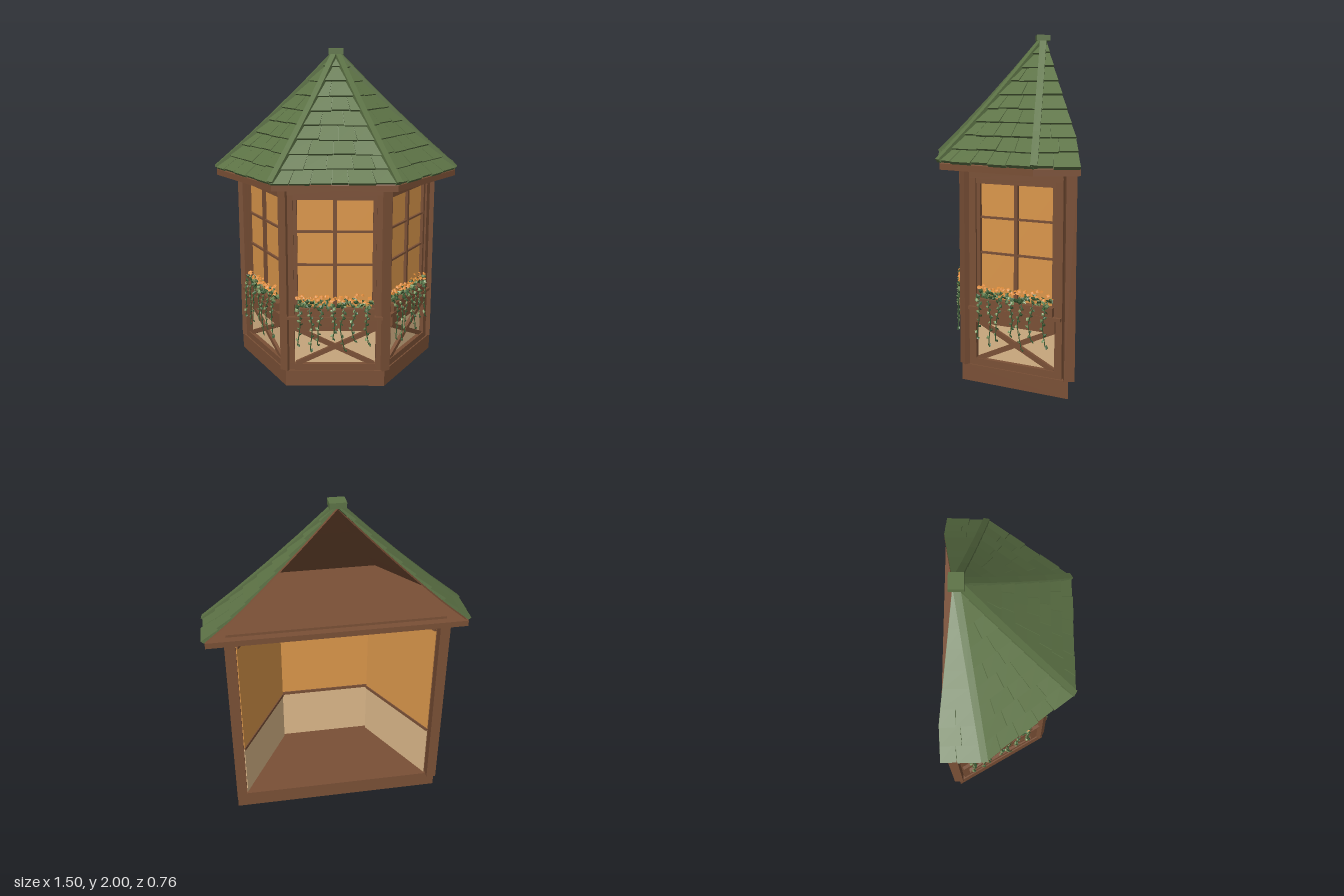
import * as THREE from 'three';
import { mergeGeometries } from 'three/addons/utils/BufferGeometryUtils.js';

const mat = (name, color, side = THREE.FrontSide) => {
  const m = new THREE.MeshStandardMaterial({ color, side });
  m.name = name;
  return m;
};
const V = (x, y, z) => new THREE.Vector3(x, y, z);

export function createModel() {
  const wood = mat('brown wood', 0x7a5036);
  const lining = mat('roof lining wood', 0x7a5036, THREE.DoubleSide);
  const glass = mat('amber glass', 0xdb974b);
  const cream = mat('cream plaster', 0xdcb88a);
  const green = mat('green shingle', 0x5d7346, THREE.DoubleSide);
  const leafDark = mat('dark leaf', 0x3f6038);
  const leafLight = mat('light leaf', 0x7f9a64);
  const orange = mat('orange blossom', 0xdc8a38);

  const model = new THREE.Group();
  model.name = 'bayWindow';
  let seed = 7;
  const rnd = (a, b) => {
    seed = (seed * 16807) % 2147483647;
    return a + (b - a) * seed / 2147483647;
  };
  const add = (parent, name, geo, material) => {
    const m = new THREE.Mesh(geo, material);
    m.name = name;
    parent.add(m);
    return m;
  };
  // box given by its limits on each axis
  const box = (parent, name, x0, x1, y0, y1, z0, z1, material = wood) => {
    const m = add(parent, name, new THREE.BoxGeometry(x1 - x0, y1 - y0, z1 - z0), material);
    m.position.set((x0 + x1) / 2, (y0 + y1) / 2, (z0 + z1) / 2);
    return m;
  };
  // horizontal slab from a half outline of [x, z] points, mirrored
  const slab = (name, half, y0, y1) => {
    const pts = [...half, ...half.slice().reverse().map(([x, z]) => [-x, z])];
    const shape = new THREE.Shape(pts.map(([x, z]) => new THREE.Vector2(x, -z)));
    const geo = new THREE.ExtrudeGeometry(shape, { depth: y1 - y0, bevelEnabled: false });
    add(model, name, geo.rotateX(-Math.PI / 2).translate(0, y0, 0), wood);
  };

  // floor and ceiling
  slab('floorBase', [[0.30, 0.24], [0.633, -0.335]], 0, 0.1);
  slab('eavesPlate', [[0.355, 0.36], [0.735, -0.125], [0.735, -0.372]], 1.24, 1.275);
  slab('ceilingBoard', [[0.30, 0.27], [0.62, -0.14], [0.62, -0.33]], 1.275, 1.29);

  // posts
  for (const s of [1, -1]) {
    const p = box(model, 'cornerPost', -0.026, 0.026, 0.1, 1.24, -0.026, 0.026);
    p.position.x = s * 0.297;
    p.position.z = 0.2145;
    p.rotation.y = s * Math.PI / 6;
    box(model, 'backPost', s * 0.605 - 0.029, s * 0.605 + 0.029, 0.1, 1.24, -0.37, -0.312);
  }

  // planting, shared by the three walls
  const leaf = (x, y, z, size) => new THREE.OctahedronGeometry(size)
    .scale(0.75, 1, 0.3).rotateX(rnd(-1, 1)).rotateZ(rnd(-1.3, 1.3)).rotateY(rnd(-1, 1)).translate(x, y, z);
  const dark = [], light = [], blossoms = [], stems = [];
  for (let i = 0; i < 80; i++) {
    (i % 3 ? dark : light).push(
      leaf(-0.23 + 0.46 * i / 79, rnd(0.495, 0.55), rnd(-0.035, 0.018), rnd(0.013, 0.022)));
  }
  for (let i = 0; i < 46; i++) {
    blossoms.push(new THREE.ConeGeometry(rnd(0.01, 0.016), 0.009, 5).rotateX(rnd(-0.3, 0.9))
      .rotateZ(rnd(-0.5, 0.5)).translate(-0.225 + 0.45 * i / 45, rnd(0.54, 0.585), rnd(-0.035, 0.016)));
  }
  for (const x of [-0.215, -0.155, -0.085, -0.015, 0.05, 0.115, 0.19]) {
    const low = rnd(0.24, 0.33);
    const path = new THREE.CatmullRomCurve3([V(x, 0.51, 0), V(x + 0.005, 0.47, 0.02),
      V(x + rnd(-0.02, 0.02), 0.4, 0.02), V(x + rnd(-0.02, 0.02), low, 0.02)]);
    stems.push(new THREE.TubeGeometry(path, 8, 0.003, 4));
    for (let k = 2; k <= 11; k++) {
      const p = path.getPoint(k / 11);
      (k % 2 ? dark : light).push(
        leaf(p.x + (k % 2 ? 0.008 : -0.008), p.y, p.z, rnd(0.011, 0.016)));
    }
  }
  const darkGeo = mergeGeometries(dark), lightGeo = mergeGeometries(light);
  const blossomGeo = mergeGeometries(blossoms), stemGeo = mergeGeometries(stems);

  // one wall: z = 0 is its outer face, +z points outward
  const wall = (name, x, z, turn) => {
    const g = new THREE.Group();
    g.name = name;
    g.position.set(x, 0, z);
    g.rotation.y = turn;
    model.add(g);
    box(g, 'windowGlass', -0.285, 0.285, 0.46, 1.2, -0.05, -0.04, glass);
    box(g, 'lowerPanel', -0.285, 0.285, 0.1, 0.45, -0.05, -0.035, cream);
    box(g, 'innerSill', -0.285, 0.285, 0.445, 0.465, -0.056, -0.03);
    for (const s of [1, -1]) {
      box(g, 'stile', s * 0.266 - 0.022, s * 0.266 + 0.022, 0.1, 1.24, -0.045, -0.008);
      box(g, 'windowFrame', s * 0.234 - 0.012, s * 0.234 + 0.012, 0.45, 1.18, -0.045, -0.02);
      const brace = box(g, 'crossBrace', -0.26, 0.26, -0.014, 0.014, -0.036, s > 0 ? -0.014 : -0.016);
      brace.position.y = 0.25;
      brace.rotation.z = s * 0.45;
    }
    box(g, 'topRail', -0.285, 0.285, 1.19, 1.24, -0.06, -0.005);
    box(g, 'windowHead', -0.25, 0.25, 1.16, 1.19, -0.045, -0.015);
    box(g, 'bottomRail', -0.285, 0.285, 0.1, 0.14, -0.04, -0.008);
    box(g, 'mullion', -0.011, 0.011, 0.46, 1.17, -0.04, -0.022);
    for (const y of [0.765, 0.968]) box(g, 'glazingBar', -0.23, 0.23, y - 0.006, y + 0.006, -0.04, -0.026);
    box(g, 'planterBracketRail', -0.25, 0.25, 0.36, 0.432, -0.04, 0.006);
    box(g, 'planterLedge', -0.285, 0.285, 0.432, 0.45, -0.04, 0.013);
    box(g, 'planterTrough', -0.235, 0.235, 0.45, 0.5, -0.04, 0.008);
    add(g, 'darkLeaves', darkGeo, leafDark);
    add(g, 'lightLeaves', lightGeo, leafLight);
    add(g, 'blossoms', blossomGeo, orange);
    add(g, 'vineStems', stemGeo, leafDark);
  };
  wall('frontWall', 0, 0.24, 0);
  wall('leftWall', 0.467, -0.048, Math.PI / 3);
  wall('rightWall', -0.467, -0.048, -Math.PI / 3);

  // roof edges rise from the eaves (v = 0) to the peak (v = 1) with a slight flare
  const roofY = v => 1.283 + 0.69 * v - 0.07 * v * (1 - v);
  const edge = (x, z) => v => V(x * (1 - v), roofY(v), z + (-0.255 - z) * v);
  const backEdge = s => v => V(s * 0.735 * (1 - v), roofY(v), Math.max(-0.37, -0.37 + (v - 0.23) * 0.13));
  const hip = s => edge(s * 0.355, 0.362);
  const sideHip = s => edge(s * 0.73, -0.13);

  const roofFace = (name, L, R) => {
    const up = R(0).sub(L(0)).cross(L(0.9).sub(L(0))).normalize();
    const at = (u, v, lift) => L(v).lerp(R(v), u).addScaledVector(up, lift);
    const mesh = (part, quads, material) => {
      const pos = [];
      for (const [a, b, c, d] of quads) for (const p of [a, b, c, a, c, d]) pos.push(p.x, p.y, p.z);
      const geo = new THREE.BufferGeometry();
      geo.setAttribute('position', new THREE.Float32BufferAttribute(pos, 3));
      geo.computeVertexNormals();
      add(model, name + part, geo, material);
    };
    const rows = 9, deck = [], under = [], shingles = [];
    for (let i = 0; i < rows; i++) {
      const v0 = i / rows, v1 = Math.min(1, (i + 1) / rows);
      deck.push([at(0, v0, 0), at(1, v0, 0), at(1, v1, 0), at(0, v1, 0)]);
      under.push([at(0, v1, -0.012), at(1, v1, -0.012), at(1, v0, -0.012), at(0, v0, -0.012)]);
      const width = L(v0).distanceTo(R(v0));
      const n = Math.max(1, Math.round(width / 0.125));
      let u0 = 0;
      for (let k = 0; k < n; k++) {
        const u1 = k === n - 1 ? 1 : (k + 1 + (i % 2 ? 0.2 : -0.2) + rnd(-0.15, 0.15)) / n;
        const gap = 0.0018 / width, low = v0 - rnd(0, 0.012), lift = rnd(0.014, 0.019);
        const a = at(u0 + gap, low, lift), b = at(u1 - gap, low, lift);
        const c = at(u1 - gap, v1, 0.004), d = at(u0 + gap, v1, 0.004);
        const a0 = at(u0 + gap, low, -0.004), b0 = at(u1 - gap, low, -0.004);
        const c0 = at(u1 - gap, v1, -0.004), d0 = at(u0 + gap, v1, -0.004);
        shingles.push([a, b, c, d], [a0, b0, b, a], [b0, c0, c, b], [d0, a0, a, d]);
        u0 = u1;
      }
    }
    mesh('Deck', deck, green);
    mesh('Shingles', shingles, green);
    mesh('Lining', under, lining);
  };
  roofFace('frontRoof', hip(-1), hip(1));
  roofFace('leftRoof', hip(1), sideHip(1));
  roofFace('rightRoof', sideHip(-1), hip(-1));
  roofFace('leftBackRoof', sideHip(1), backEdge(1));
  roofFace('rightBackRoof', backEdge(-1), sideHip(-1));

  // hip caps follow the flare in short lengths
  for (const s of [1, -1]) for (const line of [hip(s), sideHip(s)]) {
    for (let i = 0; i < 4; i++) {
      const a = line(i / 4 - (i ? 0.005 : 0.01)), b = line((i + 1) / 4);
      const cap = add(model, 'hipCap', new THREE.BoxGeometry(0.038, 0.026, a.distanceTo(b)), green);
      cap.position.copy(a).add(b).multiplyScalar(0.5);
      cap.position.y += 0.012;
      cap.lookAt(b.clone().setY(b.y + 0.012));
    }
  }
  box(model, 'peakCap', -0.046, 0.046, 1.968, 2, -0.292, -0.212, green);
  return model;
}
